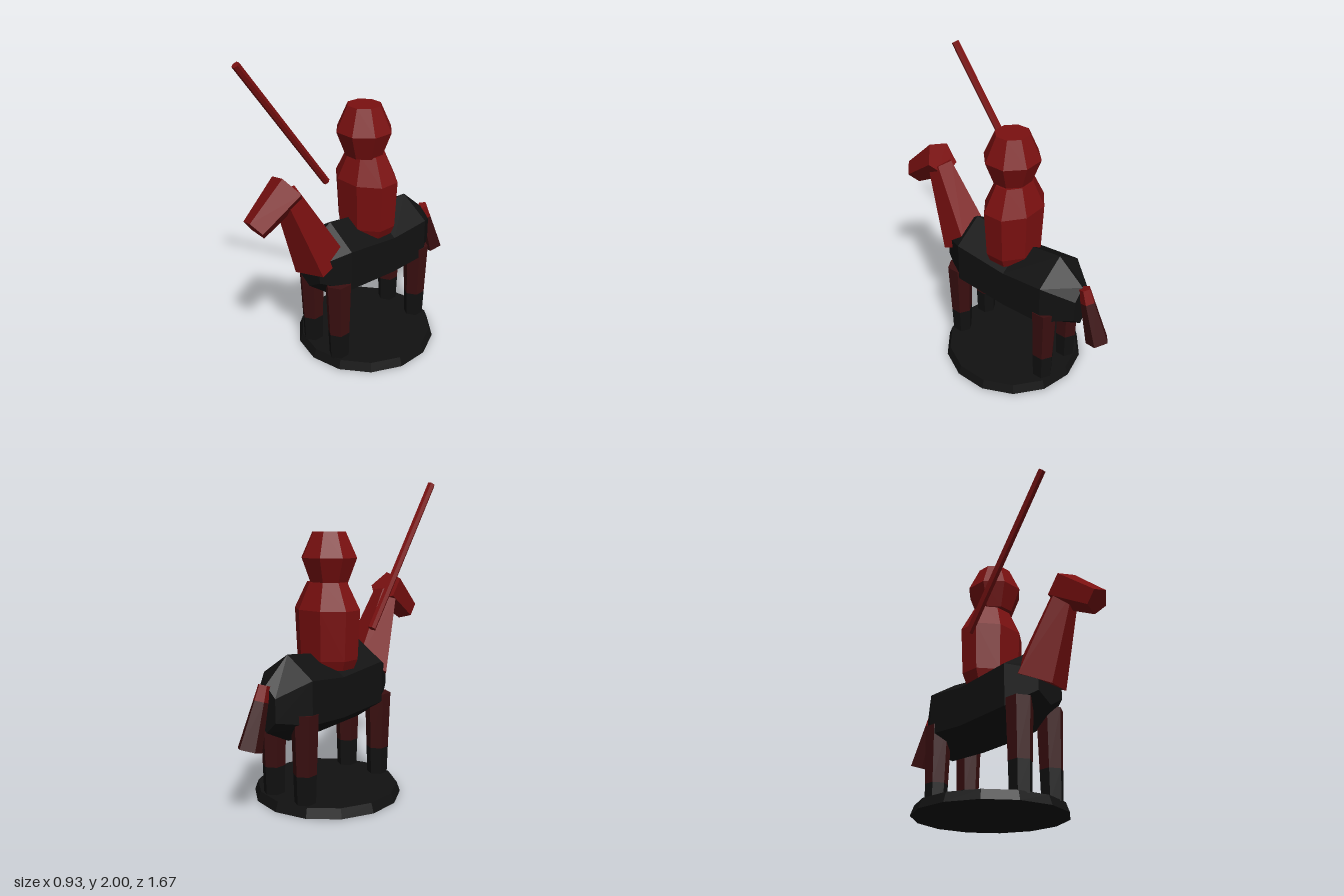
import * as THREE from 'three';

const paint = (name, color) =>
  Object.assign(new THREE.MeshStandardMaterial({ color, flatShading: true }), { name });

export function createModel() {
  const group = new THREE.Group();
  const red = paint('red', 0x7a1010);
  const maroon = paint('dark maroon', 0x3a0f10);
  const black = paint('black', 0x111111);

  const add = (name, geometry, material) => {
    const mesh = new THREE.Mesh(geometry, material);
    mesh.name = name;
    group.add(mesh);
    return mesh;
  };

  // Tapered prism between two [y, z] points at a given x; spin turns its corners
  const limb = (name, material, x, from, to, r0, r1, sides, spin = 0) => {
    const dy = to[0] - from[0], dz = to[1] - from[1];
    const geometry = new THREE.CylinderGeometry(r1, r0, Math.hypot(dy, dz), sides);
    geometry.rotateY(spin).rotateX(Math.atan2(dz, dy));
    geometry.translate(x, (from[0] + to[0]) / 2, (from[1] + to[1]) / 2);
    return add(name, geometry, material);
  };

  // Eight-sided turned form from [radius, y] points, closed at both ends
  const turned = (name, points, rx, rz, z) => {
    const closed = [[0, points[0][1]], ...points, [0, points[points.length - 1][1]]];
    const geometry = new THREE.LatheGeometry(
      closed.map(([r, y]) => new THREE.Vector2(r, y)), 8, Math.PI / 8);
    geometry.scale(rx, 1, rz).translate(0, 0, z);
    return add(name, geometry, red);
  };

  // Horse barrel: hexagonal sections [z, centre y, half height, x radius], back to front
  const sections = [
    [-0.62, 0.655, 0.145, 0.087],
    [-0.44, 0.688, 0.268, 0.235],
    [-0.15, 0.67, 0.255, 0.232],
    [0.23, 0.705, 0.27, 0.235],
    [0.41, 0.71, 0.13, 0.12],
  ];
  const positions = [], index = [];
  sections.forEach(([z, cy, ry, rx], s) => {
    for (let i = 0; i < 6; i++) {
      const a = Math.PI / 6 + i * Math.PI / 3;
      positions.push(rx * Math.cos(a), cy + ry * Math.sin(a), z);
      if (s === 0) continue;
      const d = s * 6 + i, c = s * 6 + (i + 1) % 6;
      index.push(d - 6, c - 6, d, c - 6, c, d);
    }
  });
  const last = (sections.length - 1) * 6;
  for (let i = 1; i < 5; i++) index.push(0, i + 1, i, last, last + i, last + i + 1);
  const barrel = new THREE.BufferGeometry();
  barrel.setAttribute('position', new THREE.Float32BufferAttribute(positions, 3));
  barrel.setIndex(index);
  barrel.computeVertexNormals();
  add('horseBody', barrel, black);

  // Round base
  limb('base', black, 0, [0, -0.08], [0.06, -0.08], 0.477, 0.455, 14);

  // Legs with black lower halves
  for (const [side, x] of [['Left', 0.133], ['Right', -0.133]]) {
    for (const [end, z] of [['front', 0.285], ['back', -0.435]]) {
      limb(`${end}${side}Leg`, maroon, x, [0.24, z], [0.615, z], 0.073, 0.086, 6);
      limb(`${end}${side}Hoof`, black, x, [0.05, z], [0.24, z], 0.067, 0.073, 6);
    }
  }

  // Horse neck, head and two-tone tail, all five-sided
  limb('horseNeck', red, 0, [0.755, 0.318], [1.26, 0.55], 0.178, 0.086, 5, -Math.PI / 2);
  limb('horseHead', red, 0, [1.303, 0.538], [1.123, 0.79], 0.12, 0.081, 5, Math.PI / 2);
  limb('tailRoot', red, 0, [0.71, -0.666], [0.802, -0.635], 0.048, 0.038, 5, Math.PI);
  limb('tail', maroon, 0, [0.437, -0.76], [0.71, -0.666], 0.077, 0.048, 5, Math.PI);

  // Rider
  turned('riderTorso', [[0.82, 0.83], [0.93, 0.89], [1, 1.2], [0.61, 1.37]], 0.232, 0.178, -0.08);
  turned('riderHead', [[0.67, 1.36], [1, 1.52], [0.6, 1.68]], 0.186, 0.179, -0.06);

  // Lance
  limb('lance', red, -0.29, [1.09, 0.01], [1.988, 0.645], 0.025, 0.025, 6, Math.PI / 2);

  return group;
}
